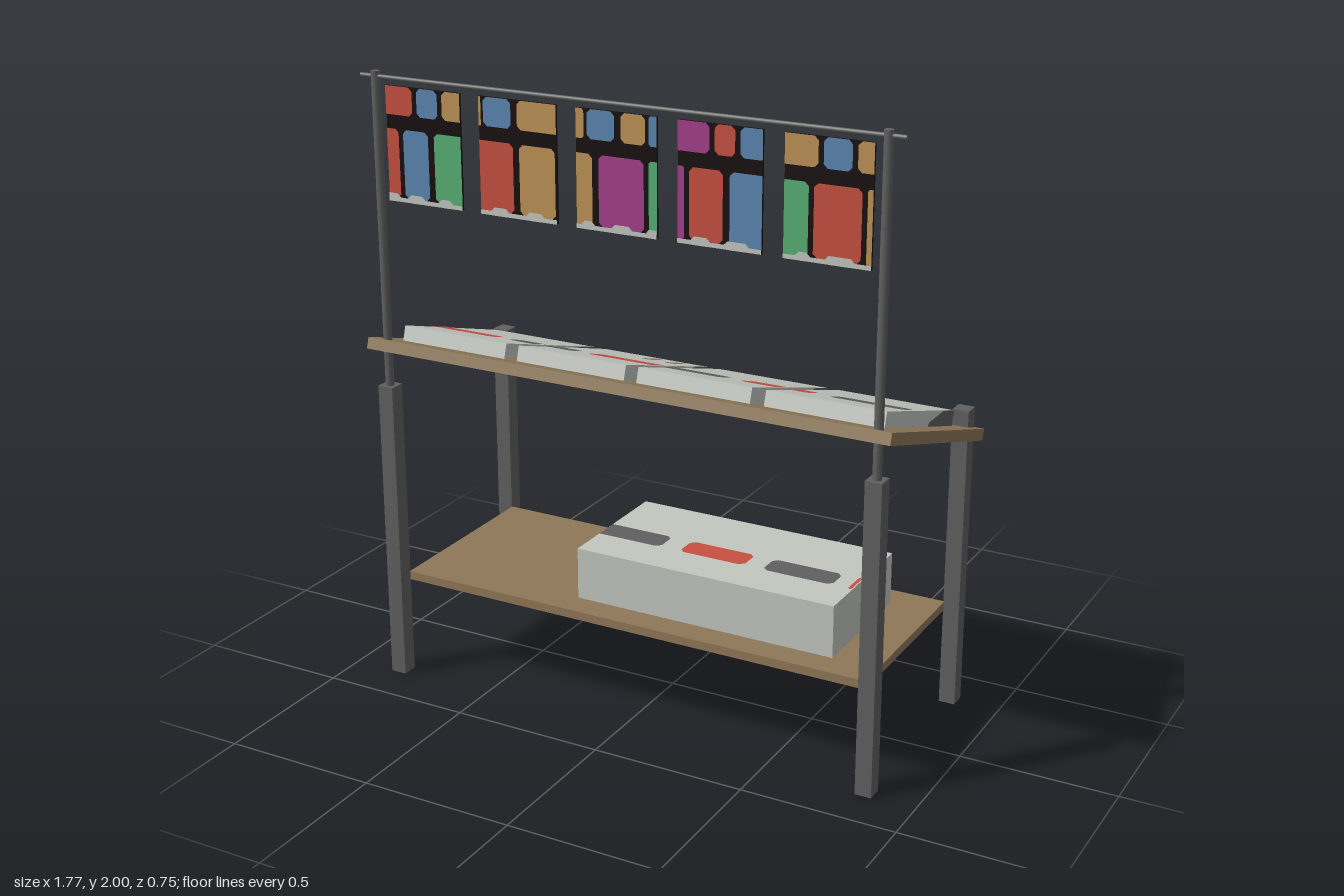
import * as THREE from 'three';

const mat = (name, color, side = THREE.FrontSide) => {
  const m = new THREE.MeshStandardMaterial({ color, side });
  m.name = name;
  return m;
};

export function createModel() {
  const wood = mat('wood', 0x8f7758);
  const metal = mat('grey metal', 0x606060);
  const pale = mat('pale box', 0xc3c7c0);
  const black = mat('print black', 0x160d0d);
  const paint = {
    r: mat('red', 0xc85040), b: mat('blue', 0x5a86b2), o: mat('ochre', 0xbf9355),
    g: mat('green', 0x58b074), m: mat('magenta', 0xa43f8b), p: pale, k: metal,
  };
  const model = new THREE.Group();
  model.name = 'marketStall';

  const add = (parent, name, geo, material, x = 0, y = 0, z = 0) => {
    const mesh = new THREE.Mesh(geo, material);
    mesh.name = name;
    mesh.position.set(x, y, z);
    parent.add(mesh);
    return mesh;
  };
  const box = (parent, name, w, h, d, material, x, y, z) =>
    add(parent, name, new THREE.BoxGeometry(w, h, d), material, x, y, z);
  const polygon = (pts) => new THREE.ShapeGeometry(new THREE.Shape(pts.map(([x, y]) => new THREE.Vector2(x, y))));
  // Flat rectangle from (x0,y0) to (x1,y1) with cut corners: cl on the left, cr on the right
  const plate = (x0, x1, y0, y1, cl, cr) => {
    const pts = [[x0 + cl, y0], [x1 - cr, y0]];
    if (cr) pts.push([x1, y0 + cr], [x1, y1 - cr]);
    pts.push([x1 - cr, y1], [x0 + cl, y1]);
    if (cl) pts.push([x0, y1 - cl], [x0, y0 + cl]);
    return polygon(pts);
  };

  // Legs, with slim poles rising from the front pair
  for (const x of [-0.835, 0.835]) {
    for (const z of [-0.33, 0.335]) box(model, z > 0 ? 'frontLeg' : 'backLeg', 0.053, 1, 0.053, metal, x, 0.5, z);
    add(model, 'pole', new THREE.CylinderGeometry(0.014, 0.014, 1.04, 12), metal, x, 1.48, 0.335);
  }
  const rail = add(model, 'rail', new THREE.CylinderGeometry(0.007, 0.007, 1.775, 10), metal, 0, 1.983, 0.335);
  rail.rotation.z = Math.PI / 2;

  // Painted dashes on a top face, clipped to the box they lie on
  const dashes = (parent, list, left, right, y, z) => {
    for (const [a, b, key] of list) {
      const lo = Math.max(a, left), hi = Math.min(b, right);
      if (hi - lo < 0.005) continue;
      const geo = plate(lo, hi, -0.043, 0.043, lo === a ? Math.min(0.015, (hi - lo) / 3) : 0, hi === b ? 0.015 : 0);
      add(parent, 'dash', geo, paint[key], 0, y + 0.002, z).rotation.x = -Math.PI / 2;
    }
  };

  // Lower shelf and crate
  box(model, 'shelf', 1.62, 0.028, 0.62, wood, 0, 0.336, 0);
  box(model, 'crate', 0.885, 0.17, 0.44, pale, 0.22, 0.435, 0);
  dashes(model, [[-0.3, 0, 'k'], [0.07, 0.295, 'r'], [0.36, 0.595, 'k'], [0.648, 0.9, 'r']], -0.22, 0.66, 0.52, 0.045);

  // Sloping table top with four shallow boxes
  const top = new THREE.Group();
  top.name = 'slopingTop';
  top.position.y = 1.025;
  top.rotation.x = -0.305;
  model.add(top);
  box(top, 'tableTop', 1.775, 0.037, 0.777, wood, 0, 0, 0);
  const topDashes = [[-0.86, -0.595, 'r'], [-0.54, -0.3, 'k'], [-0.245, -0.01, 'r'],
    [-0.01, 0.225, 'k'], [0.285, 0.515, 'r'], [0.575, 0.815, 'k']];
  const sidePatch = [[-0.262, 0.019], [-0.055, 0.019], [-0.06, 0.031], [-0.173, 0.067], [-0.262, 0.067]];
  for (const x of [-0.635, -0.211, 0.211, 0.635]) {
    box(top, 'displayBox', 0.379, 0.049, 0.55, pale, x, 0.0425, 0.013);
    dashes(top, topDashes, x - 0.1895, x + 0.1895, 0.067, 0.094);
    // Painted patch on each long side
    for (const s of [-1, 1]) {
      const geo = polygon(sidePatch.map(([z, y]) => [-s * z, y]));
      add(top, 'sidePatch', geo, s > 0 ? paint.k : paint.r, x + s * 0.1915).rotation.y = s * Math.PI / 2;
    }
  }

  // Pair of brown marks on the second box
  const print = [[-0.012, -0.055], [0.01, -0.052], [0.02, -0.03], [0.018, 0.0], [0.026, 0.02],
    [0.02, 0.045], [0.004, 0.056], [-0.016, 0.05], [-0.024, 0.025], [-0.016, 0]].map(([x, y]) => [x, -y]);
  for (const [x, s] of [[-0.16, 1], [-0.073, -0.85]]) {
    const geo = polygon(print.map(([u, v]) => [s * u, v]));
    add(top, 'mark', geo, wood, x, 0.069, -0.142).rotation.x = -Math.PI / 2;
  }

  // Hanging prints: cells as [colour, start, end] in fiftieths of the width
  const prints = [
    { upper: [['r', 0, 18], ['b', 21, 35], ['o', 38, 50]], lower: [['r', 0, 8], ['b', 11, 28], ['g', 32, 50]], bumps: [[0, 8], [13, 25], [34, 44]] },
    { upper: [['o', 0, 1.5], ['b', 3, 21], ['o', 25, 50]], lower: [['r', 0, 22], ['o', 26, 49]], bumps: [[7, 19], [30, 42]] },
    { upper: [['o', 0, 5], ['b', 7, 24], ['o', 28, 43], ['b', 45, 50]], lower: [['o', 0, 10], ['m', 14, 42], ['g', 45, 50]], bumps: [[3, 12], [22, 35], [44, 50]] },
    { upper: [['m', 0, 19], ['r', 22, 34], ['b', 37, 50]], lower: [['m', 0, 4], ['r', 7, 27], ['b', 31, 50]], bumps: [[8, 20], [28, 43]] },
    { upper: [['o', 0, 19], ['b', 22, 38], ['o', 41, 50]], lower: [['g', 0, 14], ['r', 17, 44], ['o', 47, 50]], bumps: [[7, 16], [24, 41]] },
  ];
  const W = 0.266, H = 0.355;
  const hanging = new THREE.Group();
  hanging.name = 'hangingPrints';
  hanging.position.set(0, 1.783, 0.335);
  model.add(hanging);
  for (let i = -2; i <= 2; i++) box(hanging, 'printBoard', W, H, 0.006, black, i * 0.3325, 0, 0);

  // The same row of pictures faces both front and back
  for (const turn of [0, Math.PI]) {
    const face = new THREE.Group();
    face.name = turn ? 'backPictures' : 'frontPictures';
    face.rotation.y = turn;
    hanging.add(face);
    prints.forEach(({ upper, lower, bumps }, i) => {
      const cx = (i - 2) * 0.3325 - W / 2;
      const cell = ([key, a, b], y0, y1, z = 0.005) => {
        const w = (b - a) * W / 50;
        const c = Math.min(0.012, w / 4);
        const geo = plate(cx + a * W / 50, cx + b * W / 50, y0, y1, a > 0 ? c : 0, b < 50 ? c : 0);
        add(face, 'paintedCell', geo, paint[key], 0, 0, z);
      };
      upper.forEach((u) => cell(u, 0.09, H / 2));
      lower.forEach((l) => cell(l, -0.165, 0.047));
      cell(['p', 0, 50], -H / 2, -0.164, 0.007);
      bumps.forEach(([a, b]) => cell(['p', a, b], -H / 2, -0.152, 0.008));
    });
  }
  return model;
}
